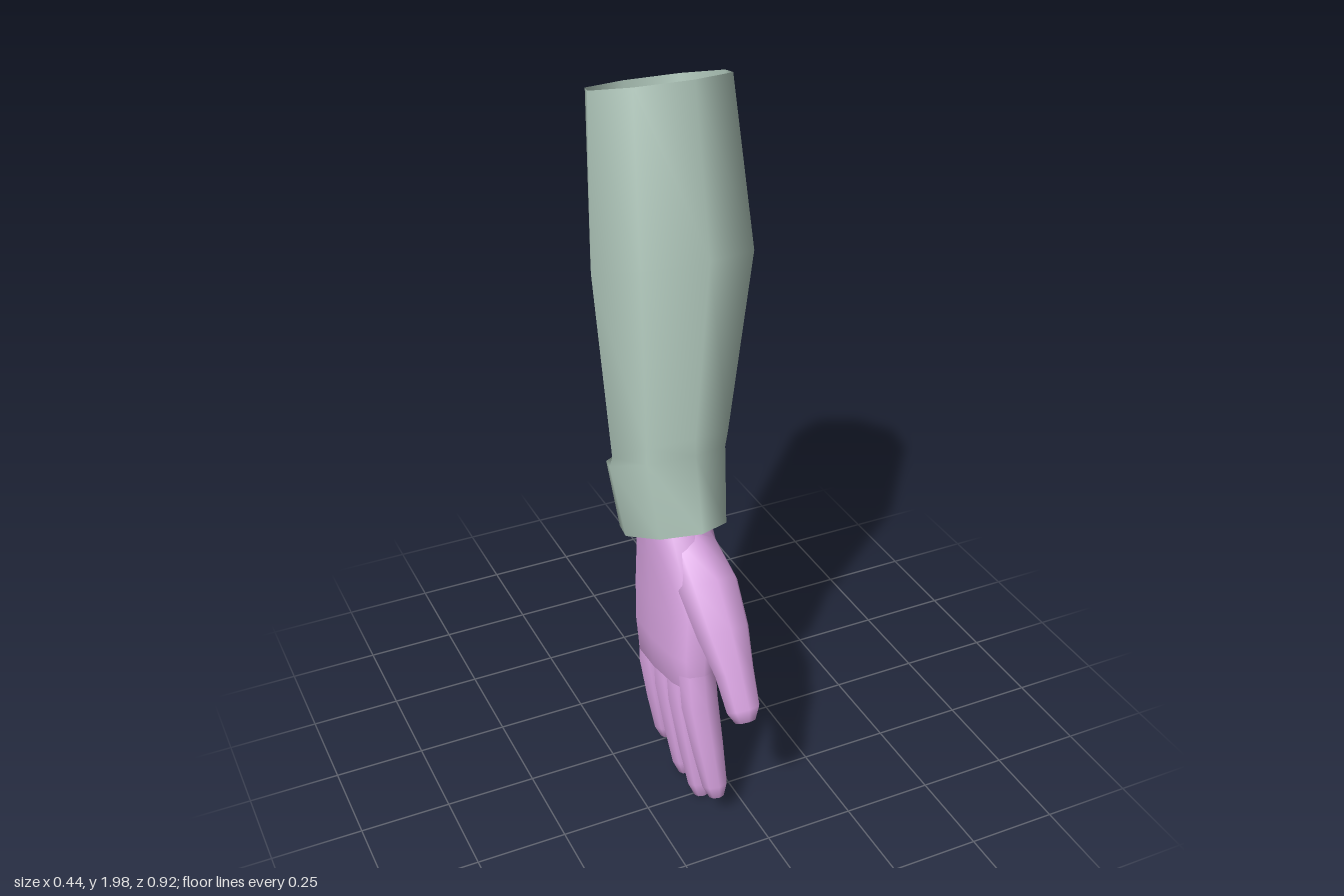
import * as THREE from 'three';

const sage = new THREE.MeshStandardMaterial({ color: 0xadc4b8, side: THREE.DoubleSide });
sage.name = 'sage sleeve';
const lilac = new THREE.MeshStandardMaterial({ color: 0xd4a0dc, side: THREE.DoubleSide });
lilac.name = 'lilac skin';

// Skin a stack of tilted oval sections, listed downwards.
// Section: [centre x, half width, front z, front y, back z, back y]; power below 1 squares the oval.
function loft(sections, { sides = 8, power = 1, cap = false } = {}) {
  const pos = [], index = [];
  const bend = (v) => Math.sign(v) * Math.pow(Math.abs(v), power);
  for (const [cx, rx, zf, yf, zb, yb] of sections) {
    for (let j = 0; j < sides; j++) {
      const a = (j / sides) * Math.PI * 2;
      const s = bend(Math.sin(a)), t = (1 + bend(Math.cos(a))) / 2;
      pos.push(cx + rx * s, yb + (yf - yb) * t, zb + (zf - zb) * t);
    }
  }
  for (let i = 0; i < sections.length - 1; i++) {
    for (let j = 0; j < sides; j++) {
      const k = (j + 1) % sides;
      const a = i * sides + j, b = i * sides + k;
      index.push(a, a + sides, b + sides, a, b + sides, b);
    }
  }
  if (cap) {
    const last = (sections.length - 1) * sides, c = pos.length / 3;
    const [cx, , zf, yf, zb, yb] = sections[sections.length - 1];
    pos.push(cx, (yf + yb) / 2, (zf + zb) / 2);
    for (let j = 0; j < sides; j++) index.push(c, last + ((j + 1) % sides), last + j);
  }
  const g = new THREE.BufferGeometry();
  g.setAttribute('position', new THREE.Float32BufferAttribute(pos, 3));
  g.setIndex(index);
  g.computeVertexNormals();
  return g;
}

// Finger along a path of [x, y, z, radius across, radius along x]
function finger(path) {
  const sections = path.map(([x, y, z, r, rx], i) => {
    const p = path[Math.max(i - 1, 0)], n = path[Math.min(i + 1, path.length - 1)];
    const dy = n[1] - p[1], dz = n[2] - p[2], l = Math.hypot(dy, dz);
    const py = (dz / l) * r, pz = (-dy / l) * r;
    return [x, rx, z + pz, y + py, z - pz, y - py];
  });
  return loft(sections, { sides: 8, cap: true });
}

export function createModel() {
  const model = new THREE.Group();
  model.name = 'forearm';
  const add = (name, geometry, material, parent = model) => {
    const m = new THREE.Mesh(geometry, material);
    m.name = name;
    parent.add(m);
  };

  // Sleeve: open top, widest at the forearm, stepped cuff at the back
  add('sleeve', loft([
    [0.02, 0.19, -0.02, 2.0, -0.465, 1.86],
    [0.0, 0.222, 0.11, 1.58, -0.36, 1.40],
    [-0.055, 0.165, 0.145, 1.11, -0.185, 0.90],
    [-0.057, 0.16, 0.15, 1.06, -0.245, 0.86],
    [-0.06, 0.137, 0.2, 0.85, -0.19, 0.68],
  ]), sage);
  // Inner closure around the wrist
  add('cuffLining', loft([
    [-0.06, 0.135, 0.195, 0.865, -0.19, 0.70],
    [-0.06, 0.001, 0.006, 0.784, 0.004, 0.783],
  ]), sage);

  const hand = new THREE.Group();
  hand.name = 'hand';
  model.add(hand);

  // Wrist and palm
  add('palm', loft([
    [-0.07, 0.085, 0.15, 0.84, -0.075, 0.78],
    [-0.07, 0.088, 0.215, 0.75, -0.09, 0.71],
    [-0.075, 0.09, 0.275, 0.62, -0.1, 0.59],
    [-0.095, 0.078, 0.29, 0.51, -0.08, 0.47],
    [-0.105, 0.067, 0.305, 0.43, -0.055, 0.37],
    [-0.1, 0.04, 0.29, 0.4, -0.04, 0.345],
  ], { sides: 12, power: 0.7, cap: true }), lilac, hand);

  // Four fingers: base and tip in y and z, with base radius
  const fingers = [
    ['indexFinger', 0.46, 0.262, 0.09, 0.358, 0.047],
    ['middleFinger', 0.44, 0.175, 0.02, 0.262, 0.046],
    ['ringFinger', 0.42, 0.088, 0.02, 0.156, 0.045],
    ['littleFinger', 0.42, -0.012, 0.058, 0.03, 0.045],
  ];
  for (const [name, y0, z0, y1, z1, r] of fingers) {
    const at = (t, k, x) => [x, y0 + (y1 - y0) * t, z0 + (z1 - z0) * t, r * k, r * k * 1.15];
    add(name, finger([
      at(0, 1, -0.105), at(0.25, 1, -0.108), at(0.6, 0.86, -0.1),
      at(0.9, 0.68, -0.092), at(1, 0.4, -0.09),
    ]), lilac, hand);
  }

  // Thumb
  add('thumb', finger([
    [-0.06, 0.78, 0.12, 0.06, 0.07],
    [-0.05, 0.69, 0.215, 0.075, 0.085],
    [-0.05, 0.6, 0.305, 0.062, 0.075],
    [-0.045, 0.51, 0.365, 0.047, 0.056],
    [-0.045, 0.425, 0.42, 0.042, 0.048],
    [-0.045, 0.395, 0.435, 0.024, 0.03],
  ]), lilac, hand);

  return model;
}
